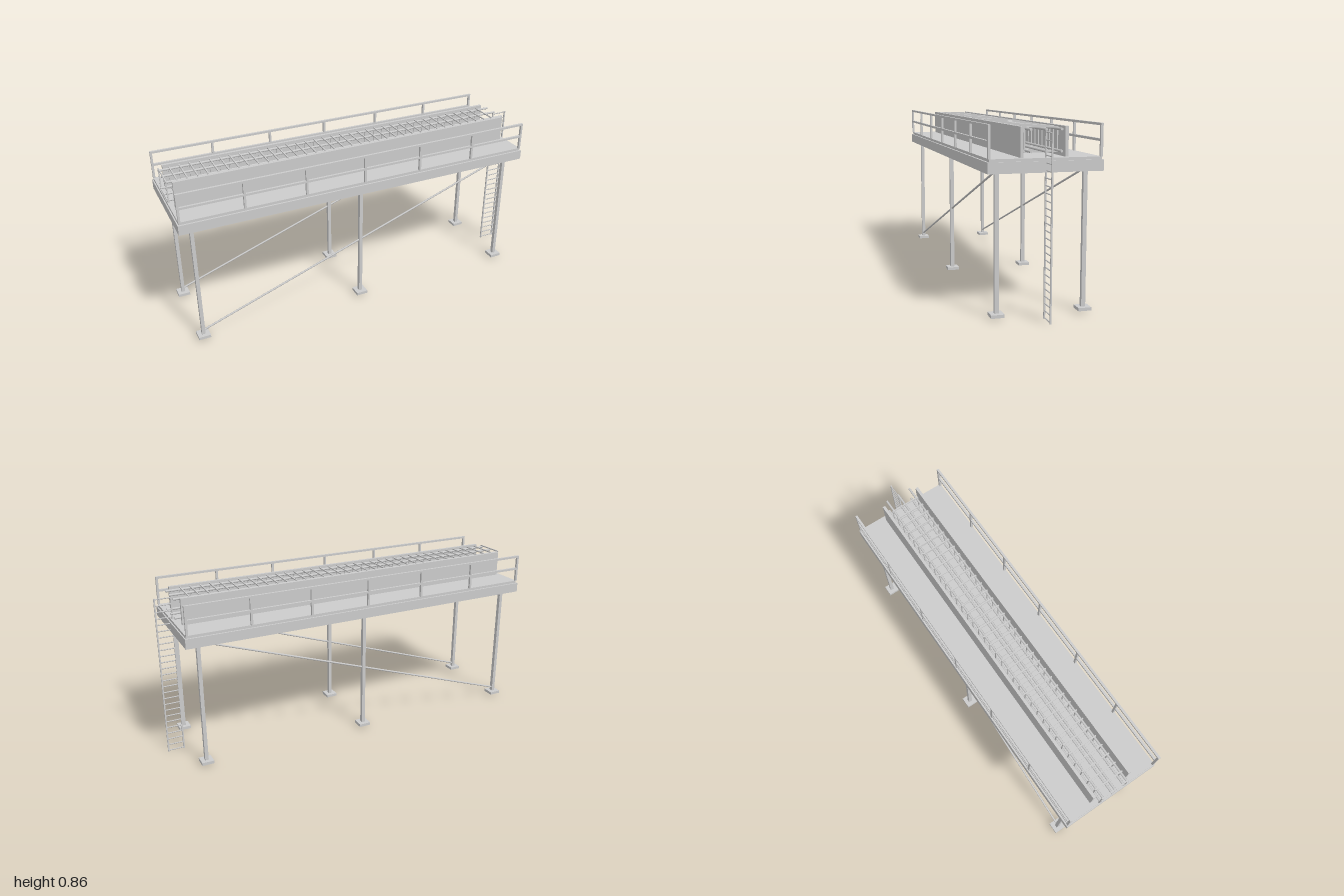
import * as THREE from 'three';

export function createModel() {
  const model = new THREE.Group();
  const mat = new THREE.MeshStandardMaterial({ color: 0xcccccc });

  const group = (name, parent = model) => {
    const g = new THREE.Group();
    g.name = name;
    parent.add(g);
    return g;
  };
  // box given by its lower and upper limits on each axis
  const box = (parent, name, [x0, x1], [y0, y1], [z0, z1]) => {
    const m = new THREE.Mesh(new THREE.BoxGeometry(x1 - x0, y1 - y0, z1 - z0), mat);
    m.position.set((x0 + x1) / 2, (y0 + y1) / 2, (z0 + z1) / 2);
    m.name = name;
    parent.add(m);
    return m;
  };
  // limits around a centre
  const around = (c, w) => [c - w / 2, c + w / 2];
  // round bar between two points
  const bar = (parent, name, a, b, r, sides = 8) => {
    const p = new THREE.Vector3(...a), q = new THREE.Vector3(...b);
    const d = q.clone().sub(p);
    const m = new THREE.Mesh(new THREE.CylinderGeometry(r, r, d.length(), sides), mat);
    m.position.copy(p).add(q).multiplyScalar(0.5);
    m.quaternion.setFromUnitVectors(new THREE.Vector3(0, 1, 0), d.normalize());
    m.name = name;
    parent.add(m);
  };

  const X0 = -1, X1 = 0.93;

  // Deck plate with a hollow edge frame beneath it
  const deck = group('deck');
  box(deck, 'deckPlate', [-0.994, 0.924], [0.702, 0.718], [-0.256, 0.256]);
  for (const s of [-1, 1]) box(deck, 'sideBeam', [X0, X1], [0.655, 0.705], around(s * 0.26, 0.01));
  for (const x of [X0 + 0.005, X1 - 0.005]) box(deck, 'endBeam', around(x, 0.01), [0.655, 0.705], [-0.255, 0.255]);

  // Legs with foot and head plates, and one diagonal brace per side
  const supports = group('supports');
  for (const s of [-1, 1]) {
    const z = s * 0.206;
    for (const x of [-0.93, -0.037, 0.857]) {
      box(supports, 'footPlate', around(x, 0.062), [0.01, 0.025], around(z, 0.062));
      box(supports, 'leg', around(x, 0.018), [0.025, 0.685], around(z, 0.02));
      box(supports, 'headPlate', around(x, 0.06), [0.682, 0.702], around(z, 0.06));
    }
    bar(supports, 'brace', [-0.93, 0.043, z], [0.857, 0.663, z], 0.005);
  }

  // Guard rails along both sides
  for (const s of [-1, 1]) {
    const rail = group(s > 0 ? 'frontGuardRail' : 'backGuardRail');
    const z = around(s * 0.256, 0.012);
    for (let i = 0; i < 7; i++) box(rail, 'railPost', around(-0.99 + i * 0.318, 0.011), [0.718, 0.86], z);
    for (const y of [0.859, 0.79]) box(rail, 'railBar', [-0.996, 0.924], around(y, 0.011), z);
  }

  // Upright panels either side of the cage
  for (const s of [-1, 1]) box(model, 'sidePanel', [-0.97, 0.897], [0.718, 0.852], around(s * 0.103, 0.015));

  // Reinforcing cage: six long bars inside square hoops
  const cage = group('cage');
  for (const y of [0.745, 0.84])
    for (const z of [-0.07, 0, 0.07]) bar(cage, 'longBar', [-0.998, y, z], [0.922, y, z], 0.006);
  for (let i = 0; i < 37; i++) {
    const hoop = group('hoop', cage);
    const x = around(-0.993 + i * 0.0511, 0.006);
    for (const y of [0.738, 0.847]) box(hoop, 'hoopCross', x, around(y, 0.006), [-0.079, 0.079]);
    for (const z of [-0.077, 0.077]) box(hoop, 'hoopSide', x, [0.736, 0.849], around(z, 0.005));
  }

  // Access ladder beyond the left end
  const ladder = group('ladder');
  for (const x of [0.915, 0.996]) box(ladder, 'ladderRail', around(x, 0.007), [0, 0.833], around(0, 0.007));
  for (let i = 0; i < 26; i++) {
    const y = 0.006 + i * 0.0329;
    bar(ladder, 'rung', [0.915, y, 0], [0.996, y, 0], 0.003, 6);
  }

  return model;
}
